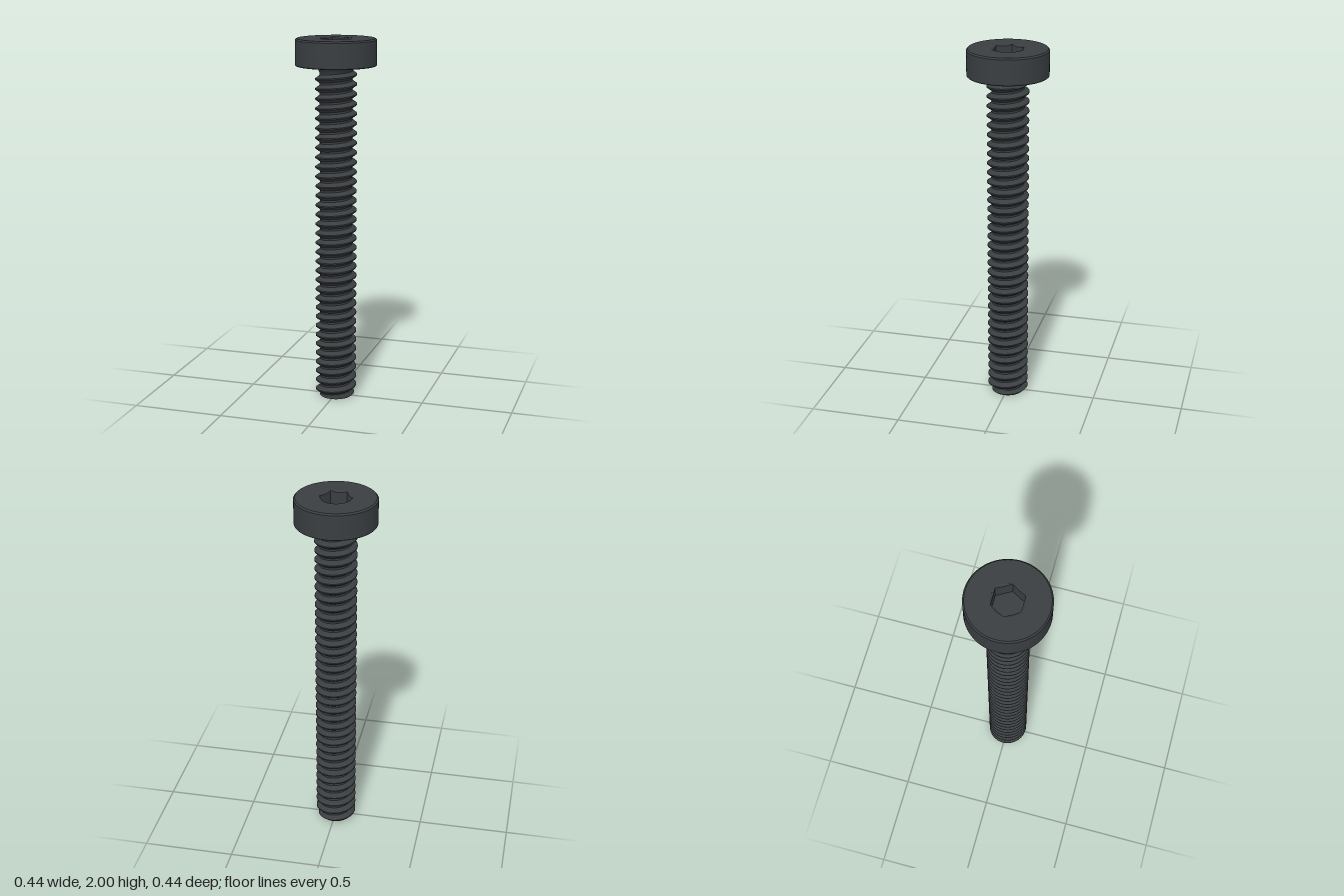
import * as THREE from 'three';
import { toCreasedNormals } from 'three/addons/utils/BufferGeometryUtils.js';

const PITCH = 0.053, CREST = 0.113, ROOT = 0.088;
const SHANK_TOP = 1.835, HEAD_BOTTOM = 1.855, TOP = 2;
const STEPS = 48; // segments per thread turn

const steel = new THREE.MeshStandardMaterial({ color: 0x3a3e41, side: THREE.DoubleSide });

function lathe(points, segments = 96) {
  return new THREE.LatheGeometry(points.map(([x, y]) => new THREE.Vector2(x, y)), segments);
}

function add(group, name, geometry) {
  const mesh = new THREE.Mesh(geometry, steel);
  mesh.name = name;
  group.add(mesh);
}

// One face of the thread, swept along a right-handed helix and cut to the shank ends
function helixStrip([r0, h0], [r1, h1]) {
  const turns = Math.ceil(SHANK_TOP / PITCH) + 2;
  const positions = [], indices = [];
  for (let i = 0; i <= turns * STEPS; i++) {
    const t = (i / STEPS) * Math.PI * 2;
    const rise = (i / STEPS - 1.5) * PITCH;
    for (const [r, h] of [[r0, h0], [r1, h1]]) {
      const y = THREE.MathUtils.clamp(rise + h * PITCH, 0, SHANK_TOP);
      // bevelled tip and run-out below the head
      const radius = Math.min(r, 0.091 + y, ROOT + 0.004 + (SHANK_TOP - y));
      positions.push(radius * Math.cos(t), y, -radius * Math.sin(t));
    }
    if (i > 0) {
      const a = 2 * i - 2;
      indices.push(a, a + 2, a + 1, a + 1, a + 2, a + 3);
    }
  }
  const geometry = new THREE.BufferGeometry();
  geometry.setAttribute('position', new THREE.Float32BufferAttribute(positions, 3));
  geometry.setIndex(indices);
  geometry.computeVertexNormals();
  return geometry;
}

// Hexagonal recess with a conical lead-in that meets the corners
function socketGeometry() {
  const corner = 0.087, floor = 1.91;
  const geometry = lathe([[corner, TOP], [corner, TOP], [corner, floor], [0, floor]], 72);
  const p = geometry.attributes.position;
  for (let i = 0; i < p.count; i++) {
    const ring = i % 4;
    if (ring !== 1 && ring !== 2) continue;
    const angle = Math.atan2(p.getZ(i), p.getX(i)) + Math.PI * 2;
    const sixth = Math.PI / 3;
    const hex = corner * Math.cos(sixth / 2) / Math.cos((angle % sixth) - sixth / 2);
    const y = ring === 1 ? TOP - (corner - hex) * 0.6 : floor;
    p.setXYZ(i, hex * Math.cos(angle), y, hex * Math.sin(angle));
  }
  return toCreasedNormals(geometry, 0.4);
}

export function createModel() {
  const screw = new THREE.Group();
  screw.name = 'socketHeadScrew';

  // Head with bevelled rims
  add(screw, 'head', toCreasedNormals(lathe([
    [0.08, HEAD_BOTTOM], [0.214, HEAD_BOTTOM], [0.218, HEAD_BOTTOM + 0.004],
    [0.218, TOP - 0.008], [0.21, TOP], [0.087, TOP],
  ]), 0.4));
  add(screw, 'hexSocket', socketGeometry());

  // Flared neck and flat tip
  add(screw, 'neck', lathe([[0.087, 1.815], [0.092, 1.832], [0.104, 1.845], [0.117, HEAD_BOTTOM]]));
  add(screw, 'tip', lathe([[0, 0], [0.09, 0]]));

  // Thread: root, lower flank, crest, upper flank
  const thread = new THREE.Group();
  thread.name = 'thread';
  const profile = [[ROOT, 0], [ROOT, 0.2], [CREST, 0.54], [CREST, 0.66], [ROOT, 1]];
  const names = ['threadRoot', 'lowerFlank', 'threadCrest', 'upperFlank'];
  names.forEach((name, i) => add(thread, name, helixStrip(profile[i], profile[i + 1])));
  screw.add(thread);

  return screw;
}
